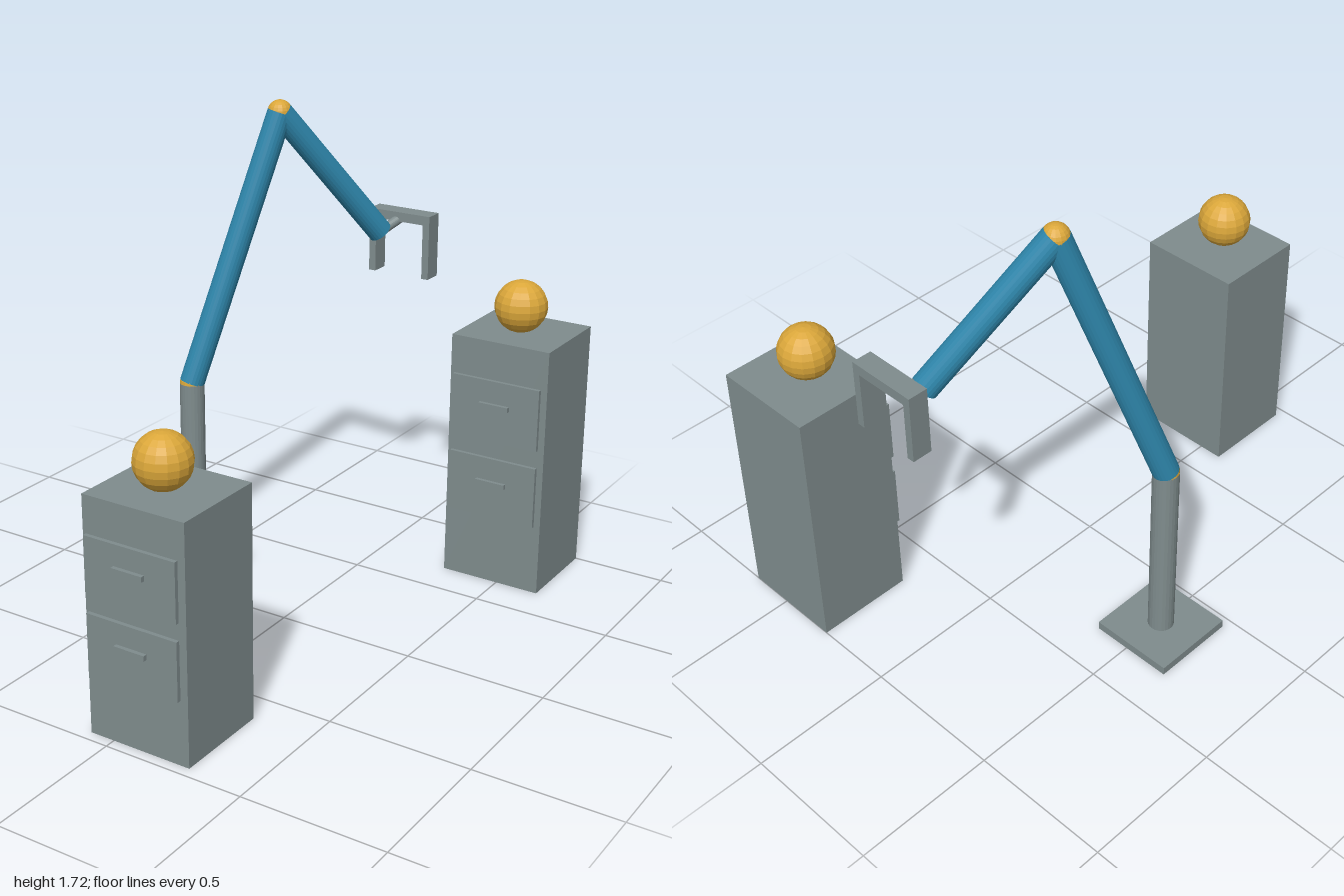
import * as THREE from 'three';

export function createModel() {
  const mat = (name, color) => {
    const m = new THREE.MeshStandardMaterial({ color, flatShading: true });
    m.name = name;
    return m;
  };
  const grey = mat('grey metal', 0x7f8c8d);
  const blue = mat('blue arm', 0x2e86ab);
  const amber = mat('amber', 0xdba73a);

  const model = new THREE.Group();
  model.name = 'robotArmWithCabinets';

  const add = (parent, name, geometry, material, x, y, z) => {
    const mesh = new THREE.Mesh(geometry, material);
    mesh.name = name;
    mesh.position.set(x, y, z);
    parent.add(mesh);
    return mesh;
  };
  const box = (parent, name, w, h, d, x, y, z) =>
    add(parent, name, new THREE.BoxGeometry(w, h, d), grey, x, y, z);
  const ball = (parent, name, r, x, y, z) =>
    add(parent, name, new THREE.SphereGeometry(r, 16, 12), amber, x, y, z);
  // Cylinder spanning two points
  const rod = (parent, name, a, b, r, material) => {
    const dir = b.clone().sub(a);
    const mid = a.clone().add(b).multiplyScalar(0.5);
    const mesh = add(parent, name, new THREE.CylinderGeometry(r, r, dir.length(), 24),
      material, mid.x, mid.y, mid.z);
    mesh.quaternion.setFromUnitVectors(new THREE.Vector3(0, 1, 0), dir.normalize());
  };

  // Arm: base plate, column, two links with ball joints, wrist
  const arm = new THREE.Group();
  arm.name = 'arm';
  model.add(arm);
  const foot = new THREE.Vector3(-0.52, 0.03, -0.188);
  const shoulder = new THREE.Vector3(-0.52, 0.72, -0.188);
  const elbow = new THREE.Vector3(-0.33, 1.676, -0.478);
  const wrist = new THREE.Vector3(-0.11, 1.2, -0.813);
  const grip = new THREE.Vector3(-0.06, 1.25, -0.9);
  const R = 0.045;
  box(arm, 'basePlate', 0.3, 0.03, 0.3, foot.x, 0.015, foot.z);
  rod(arm, 'column', foot, shoulder, R, grey);
  ball(arm, 'shoulderJoint', R, ...shoulder.toArray());
  rod(arm, 'upperArm', shoulder, elbow, R, blue);
  ball(arm, 'elbowJoint', R, ...elbow.toArray());
  rod(arm, 'forearm', elbow, wrist, R, blue);
  rod(arm, 'wrist', wrist, grip, 0.018, grey);

  // Gripper: crossbar with two fingers
  const gripper = new THREE.Group();
  gripper.name = 'gripper';
  arm.add(gripper);
  box(gripper, 'crossbar', 0.25, 0.035, 0.07, grip.x, 1.251, grip.z);
  for (const side of [-1, 1]) {
    box(gripper, 'finger', 0.027, 0.205, 0.07, grip.x + side * 0.1115, 1.1325, grip.z);
  }

  // Cabinets: body, two drawer fronts with handles, a ball on top
  const cabinet = (name, h, x, front) => {
    const g = new THREE.Group();
    g.name = name;
    g.position.set(x, 0, front);
    model.add(g);
    box(g, 'cabinetBody', 0.377, h, 0.345, 0, h / 2, -0.1725);
    for (const [drawerY, handleY] of [[0.728, 0.752], [0.409, 0.432]]) {
      box(g, 'drawerFront', 0.338, h * 0.247, 0.014, 0, h * drawerY, 0.017);
      box(g, 'drawerHandle', 0.114, 0.018, 0.014, 0, h * handleY, 0.031);
    }
    ball(g, 'ball', 0.095, 0, h + 0.095, -0.156);
  };
  cabinet('frontCabinet', 0.815, 0.1, 0.962);
  cabinet('backCabinet', 0.922, 0.473, -0.655);

  return model;
}
